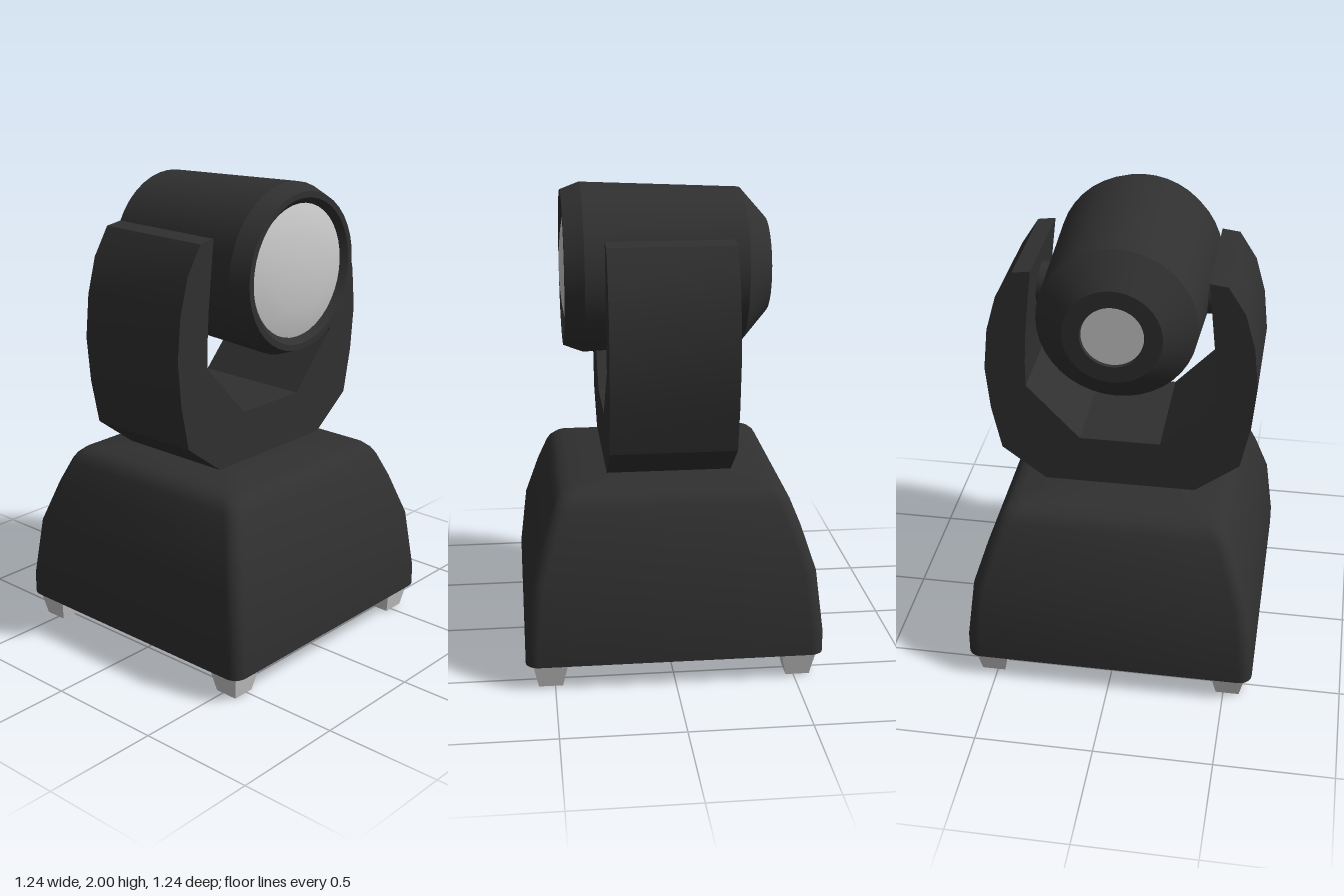
import * as THREE from 'three';
import { toCreasedNormals } from 'three/addons/utils/BufferGeometryUtils.js';

const HEAD_Y = 1.645;

export function createModel() {
  const model = new THREE.Group();
  model.name = 'movingHeadLight';
  const black = new THREE.MeshStandardMaterial({ color: 0x303030 });
  const grey = new THREE.MeshStandardMaterial({ color: 0xcccccc });

  function add(name, geometry, material, parent = model) {
    const mesh = new THREE.Mesh(geometry, material);
    mesh.name = name;
    parent.add(mesh);
    return mesh;
  }

  // Base: rounded squares stacked along a curved profile of [half width, height]
  add('base', roundedSquareLoft([
    [0, 0.11], [0.62, 0.11], [0.62, 0.2], [0.59, 0.46], [0.532, 0.64],
    [0.49, 0.745], [0.475, 0.77], [0.45, 0.793], [0.41, 0.805], [0, 0.805],
  ], 0.055), black);

  // Feet: tapered square blocks
  for (const sx of [-1, 1]) {
    for (const sz of [-1, 1]) {
      const foot = new THREE.CylinderGeometry(0.073 * Math.SQRT2, 0.05 * Math.SQRT2, 0.11, 4);
      foot.rotateY(Math.PI / 4);
      add('foot', toCreasedNormals(foot, 0.3), grey).position.set(sx * 0.518, 0.055, sz * 0.518);
    }
  }

  // Turning neck between base and yoke
  add('neck', new THREE.CylinderGeometry(0.13, 0.13, 0.06, 32), grey).position.y = 0.825;

  // Yoke: right half of the outline, mirrored, then extruded front to back
  const half = [
    [0.32, 0.84], [0.505, 0.98], [0.545, 1.17], [0.563, 1.36], [0.545, 1.54],
    [0.503, 1.69], [0.43, 1.805], [0.355, 1.815], [0.37, 1.68], [0.385, 1.53],
    [0.392, 1.4], [0.392, 1.29], [0.17, 1.055],
  ];
  const outline = [...half, ...half.map(([x, y]) => [-x, y]).reverse()];
  const yoke = new THREE.ExtrudeGeometry(
    new THREE.Shape(outline.map(([x, y]) => new THREE.Vector2(x, y))),
    { depth: 0.52, bevelEnabled: false });
  yoke.translate(0, 0, -0.26);
  add('yoke', toCreasedNormals(yoke, 0.3), black);

  // Lamp head: turned around the z axis
  const head = new THREE.Group();
  head.name = 'head';
  head.position.y = HEAD_Y;
  model.add(head);
  add('headShell', turned([
    [0.125, -0.43], [0.13, -0.44], [0.2, -0.44], [0.325, -0.33],
    [0.355, 0.34], [0.325, 0.42], [0.3, 0.42], [0.275, 0.395],
  ]), black, head);
  add('frontLens', turned([
    [0.275, 0.395], [0.23, 0.408], [0.16, 0.42], [0.08, 0.428], [0, 0.43],
  ]), grey, head);
  add('rearLens', turned([[0, -0.43], [0.125, -0.43]]), grey, head);

  // Tilt pivots joining head and yoke arms
  for (const s of [-1, 1]) {
    const pivot = new THREE.CylinderGeometry(0.085, 0.085, 0.12, 24);
    pivot.rotateZ(Math.PI / 2);
    add('tiltPivot', pivot, black, head).position.x = s * 0.34;
  }
  return model;
}

// Lathe of [radius, z] points about the z axis
function turned(points) {
  const g = new THREE.LatheGeometry(points.map(([r, z]) => new THREE.Vector2(r, z)), 40);
  g.rotateX(Math.PI / 2);
  return toCreasedNormals(g, 0.35);
}

// Skin over rounded-square sections given as [half width, height]
function roundedSquareLoft(profile, radius) {
  const steps = 6, count = 4 * (steps + 1);
  const positions = [], index = [];
  profile.forEach(([h, y], i) => {
    const r = Math.min(radius, h);
    for (let c = 0; c < 4; c++) {
      const mid = (c + 0.5) * Math.PI / 2;
      const cx = Math.sign(Math.cos(mid)) * (h - r);
      const cz = Math.sign(Math.sin(mid)) * (h - r);
      for (let k = 0; k <= steps; k++) {
        const a = (c + k / steps) * Math.PI / 2;
        positions.push(cx + r * Math.cos(a), y, cz + r * Math.sin(a));
      }
    }
    if (i === profile.length - 1) return;
    for (let j = 0; j < count; j++) {
      const a = i * count + j, b = i * count + (j + 1) % count;
      index.push(a, a + count, b, b, a + count, b + count);
    }
  });
  const g = new THREE.BufferGeometry();
  g.setAttribute('position', new THREE.Float32BufferAttribute(positions, 3));
  g.setIndex(index);
  return toCreasedNormals(g, 0.6);
}
